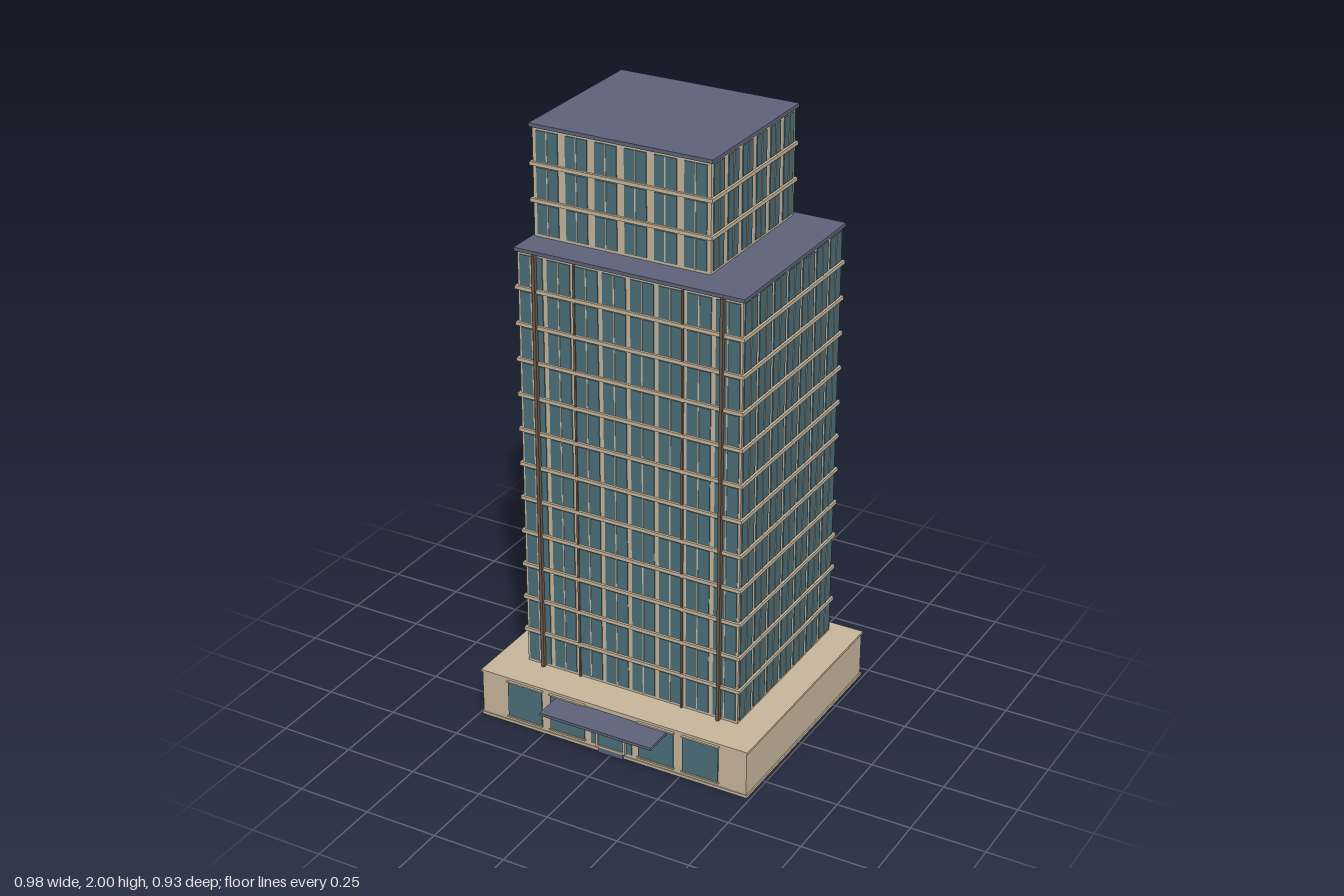
import * as THREE from 'three';

const mat = (name, color) => {
  const m = new THREE.MeshStandardMaterial({ color });
  m.name = name;
  return m;
};

export function createModel() {
  const stone = mat('stone', 0xc8b79c);
  const glass = mat('glass', 0x4c6e78);
  const slate = mat('slate', 0x5d637a);
  const bronze = mat('bronze', 0x6b5a4c);
  const model = new THREE.Group();
  model.name = 'officeTower';

  // Box given by its lower and upper limits on each axis
  function box(parent, name, material, [x0, x1], [y0, y1], [z0, z1]) {
    const mesh = new THREE.Mesh(new THREE.BoxGeometry(x1 - x0, y1 - y0, z1 - z0), material);
    mesh.position.set((x0 + x1) / 2, (y0 + y1) / 2, (z0 + z1) / 2);
    mesh.name = name;
    parent.add(mesh);
    return mesh;
  }

  // One wall of windows in its own frame: width along x, outward along z
  function facade(name, width, height, floors, bays, gap) {
    const wall = new THREE.Group();
    wall.name = name;
    const bay = width / bays, floor = height / floors, half = (bay - gap) / 2;
    for (let b = 0; b < bays; b++) {
      const x = -width / 2 + (b + 0.5) * bay;
      for (let f = 0; f < floors; f++) {
        const y = f * floor;
        box(wall, 'windowPane', glass, [x - half, x + half], [y + 0.009, y + floor - 0.011], [-0.002, 0.003]);
        box(wall, 'mullion', stone, [x - 0.002, x + 0.002], [y + 0.009, y + floor - 0.011], [0, 0.005]);
      }
    }
    return wall;
  }

  // Tower block: core, four facades, floor bands and roof slab
  function block(name, [x0, x1], [y0, y1], [z0, z1], floors, baysX, baysZ, gap) {
    const g = new THREE.Group();
    g.name = name;
    model.add(g);
    box(g, 'core', stone, [x0, x1], [y0, y1], [z0, z1]);
    const w = x1 - x0, d = z1 - z0, h = y1 - y0, cx = (x0 + x1) / 2, cz = (z0 + z1) / 2;
    const sides = [
      ['frontFacade', w, baysX, cx, z1, 0],
      ['leftFacade', d, baysZ, x1, cz, Math.PI / 2],
      ['backFacade', w, baysX, cx, z0, Math.PI],
      ['rightFacade', d, baysZ, x0, cz, -Math.PI / 2],
    ];
    for (const [label, width, bays, x, z, turn] of sides) {
      const wall = facade(label, width, h, floors, bays, gap);
      wall.position.set(x, y0, z);
      wall.rotation.y = turn;
      g.add(wall);
    }
    for (let f = 1; f < floors; f++) {
      const y = y0 + (f * h) / floors, o = 0.008;
      box(g, 'floorBand', stone, [x0 - o, x1 + o], [y - 0.006, y + 0.006], [z0 - o, z1 + o]);
    }
    box(g, 'roofSlab', slate, [x0 - 0.008, x1 + 0.008], [y1 - 0.002, y1 + 0.01], [z0 - 0.008, z1 + 0.008]);
    return g;
  }

  const lower = block('lowerTower', [-0.387, 0.387], [0.17, 1.625], [-0.419, 0.232], 12, 8, 7, 0.016);
  block('upperTower', [-0.387, 0.224], [1.635, 1.99], [-0.403, 0.132], 3, 6, 6, 0.026);

  // Vertical fins on the front of the lower tower
  for (const s of [-1, 1]) {
    box(lower, 'outerFin', bronze, [s * 0.323 - 0.005, s * 0.323 + 0.005], [0.17, 1.625], [0.23, 0.249]);
    box(lower, 'innerFin', bronze, [s * 0.187 - 0.003, s * 0.187 + 0.003], [0.17, 1.625], [0.23, 0.239]);
  }

  // Podium
  const podium = new THREE.Group();
  podium.name = 'podium';
  model.add(podium);
  box(podium, 'podiumBody', stone, [-0.486, 0.486], [0, 0.162], [-0.46, 0.357]);
  box(podium, 'podiumCornice', stone, [-0.49, 0.49], [0.162, 0.17], [-0.464, 0.36]);
  box(podium, 'podiumBase', stone, [-0.49, 0.49], [0, 0.01], [-0.464, 0.36]);

  // Shop windows with slim sills and heads
  for (const x of [-0.323, -0.163, 0.163, 0.323]) {
    box(podium, 'shopWindow', glass, [x - 0.064, x + 0.064], [0.026, 0.154], [0.355, 0.361]);
    for (const y of [0.022, 0.154])
      box(podium, 'shopWindowTrim', stone, [x - 0.067, x + 0.067], [y, y + 0.005], [0.355, 0.365]);
  }

  // Entrance: glazing, door frame, step and canopy
  const entrance = new THREE.Group();
  entrance.name = 'entrance';
  model.add(entrance);
  box(entrance, 'entranceGlazing', glass, [-0.075, 0.075], [0.022, 0.142], [0.355, 0.36]);
  box(entrance, 'door', glass, [-0.048, 0.048], [0.02, 0.098], [0.356, 0.362]);
  for (const s of [-1, 1])
    box(entrance, 'doorJamb', stone, [s * 0.05 - 0.004, s * 0.05 + 0.004], [0.02, 0.104], [0.356, 0.367]);
  box(entrance, 'doorHead', stone, [-0.054, 0.054], [0.098, 0.106], [0.356, 0.367]);
  box(entrance, 'doorSill', stone, [-0.054, 0.054], [0.018, 0.025], [0.356, 0.367]);
  box(entrance, 'doorStep', slate, [-0.046, 0.046], [0, 0.018], [0.356, 0.367]);
  box(entrance, 'canopy', slate, [-0.203, 0.203], [0.143, 0.153], [0.355, 0.463]);

  return model;
}
